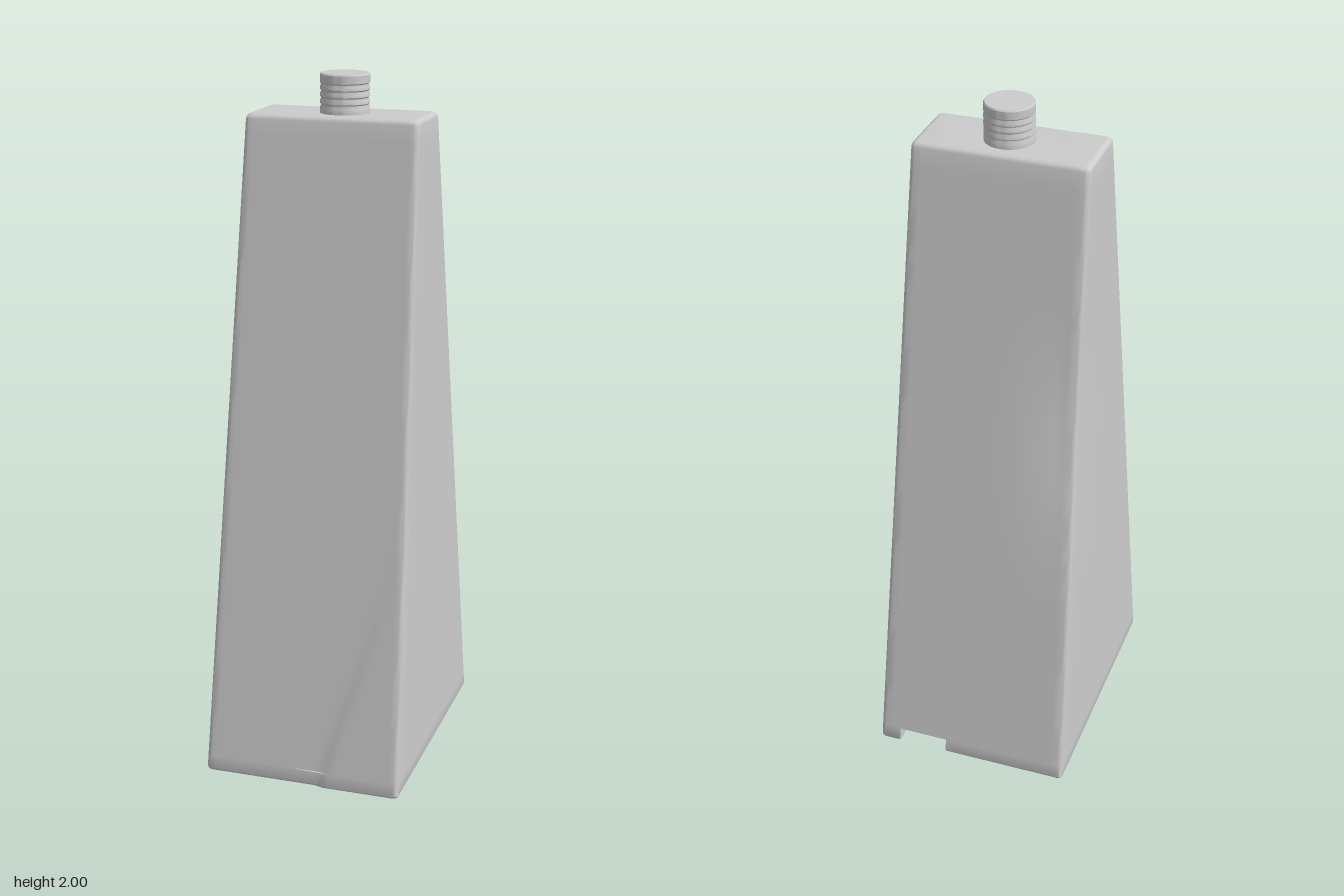
import * as THREE from 'three';
import { toCreasedNormals } from 'three/addons/utils/BufferGeometryUtils.js';

const BOTTOM = 0.005, SHOULDER = 1.89, NOTCH_TOP = 0.05;
const lerp = THREE.MathUtils.lerp;
const smooth = THREE.MathUtils.smoothstep;
const bell = (v, centre, width) => Math.exp(-(((v - centre) / width) ** 2));

// Tapered rounded-rectangle outline at height y, anticlockwise from above
function outline(y, inset, notched) {
  const t = (y - BOTTOM) / (SHOULDER - BOTTOM);
  const hx = lerp(0.293, 0.25, t) - inset;
  const front = lerp(0.395, 0.102, t) - inset;
  const back = lerp(-0.4, -0.112, t) + inset;
  const r = 0.014, points = [];
  const corner = (x, z, start) => {
    for (let i = 0; i <= 4; i++) {
      const a = start + (i / 4) * Math.PI / 2;
      points.push([x + r * Math.cos(a), z - r * Math.sin(a)]);
    }
  };
  const edge = (x0, z0, x1, z1, n) => {
    for (let i = 1; i < n; i++) points.push([lerp(x0, x1, i / n), lerp(z0, z1, i / n)]);
  };
  corner(-hx + r, front - r, Math.PI);
  edge(-hx + r, front, hx - r, front, 40);
  corner(hx - r, front - r, -Math.PI / 2);
  edge(hx, front - r, hx, back + r, 12);
  corner(hx - r, back + r, 0);
  if (notched) {
    points.push([0.23, back], [0.23, -0.1], [0.08, -0.1], [0.08, back]);
    edge(0.08, back, -hx + r, back, 16);
  } else {
    edge(hx - r, back, -hx + r, back, 24);
  }
  corner(-hx + r, back + r, Math.PI / 2);
  edge(-hx, back + r, -hx, front - r, 12);
  return points;
}

// Soft crease low on the front and a shallow dent on the back edge
function dent(x, y, z) {
  if (z > 0) {
    const creaseX = lerp(0.045, 0.285, y / 0.78);
    const weight = smooth(z, 0.2, 0.36) * Math.max(0, 1 - y / 0.78);
    z += 0.008 * smooth(x, creaseX - 0.005, creaseX + 0.02) * weight;
  } else {
    const depth = smooth(-z, 0.05, 0.15);
    z += 0.018 * depth * bell(y, 1.15, 0.3) * bell(x, -0.27, 0.12);
    x += 0.008 * depth * bell(y, 1.2, 0.35) * (x < -0.2 ? 1 : 0);
  }
  return [x, y, z];
}

// Skin a stack of [height, inset] levels and close the requested ends
function loft(levels, notched, capTop) {
  const positions = [], index = [];
  const loops = levels.map(([y, inset]) => outline(y, inset, notched));
  const n = loops[0].length;
  loops.forEach((loop, k) => loop.forEach(([x, z]) => positions.push(...dent(x, levels[k][0], z))));
  for (let k = 0; k < loops.length - 1; k++) {
    for (let i = 0; i < n; i++) {
      const a = k * n + i, b = k * n + (i + 1) % n;
      index.push(a, b, b + n, a, b + n, a + n);
    }
  }
  const cap = (k, up) => {
    const flat = loops[k].map(([x, z]) => new THREE.Vector2(x, -z));
    for (const [a, b, c] of THREE.ShapeUtils.triangulateShape(flat, [])) {
      index.push(k * n + a, k * n + (up ? b : c), k * n + (up ? c : b));
    }
  };
  cap(0, false);
  if (capTop) cap(loops.length - 1, true);
  const geometry = new THREE.BufferGeometry();
  geometry.setAttribute('position', new THREE.Float32BufferAttribute(positions, 3));
  geometry.setIndex(index);
  return toCreasedNormals(geometry, 0.6);
}

export function createModel() {
  const model = new THREE.Group();
  model.name = 'bottle';
  const material = new THREE.MeshStandardMaterial({ color: 0xcccccc });
  const add = (name, geometry) => {
    const mesh = new THREE.Mesh(geometry, material);
    mesh.name = name;
    model.add(mesh);
    return mesh;
  };

  // Base with the slot cut in from the back edge
  add('notchedBase', loft([[BOTTOM, 0.008], [BOTTOM + 0.003, 0.003], [BOTTOM + 0.009, 0], [NOTCH_TOP, 0]], true, false));

  // Tapered body with a rounded shoulder rim
  const levels = [];
  for (let i = 0; i <= 36; i++) levels.push([lerp(NOTCH_TOP, SHOULDER - 0.014, i / 36), 0]);
  for (let i = 1; i <= 4; i++) {
    const a = (i / 4) * Math.PI / 2;
    levels.push([SHOULDER - 0.014 * (1 - Math.sin(a)), 0.013 * (1 - Math.cos(a))]);
  }
  add('body', loft(levels, false, true));

  // Ribbed screw cap
  const profile = [[0, 0], [0.07, 0], [0.07, 0.016]];
  for (let i = 0; i < 4; i++) {
    const y = 0.018 + i * 0.019;
    profile.push([0.067, y + 0.003], [0.067, y + 0.006], [0.07, y + 0.009], [0.07, y + 0.016]);
  }
  profile.push([0.07, 0.106], [0.067, 0.11], [0, 0.11]);
  const capGeometry = new THREE.LatheGeometry(profile.map(([x, y]) => new THREE.Vector2(x, y)), 48);
  add('screwCap', toCreasedNormals(capGeometry, 0.6)).position.set(0.007, SHOULDER, -0.007);

  return model;
}
